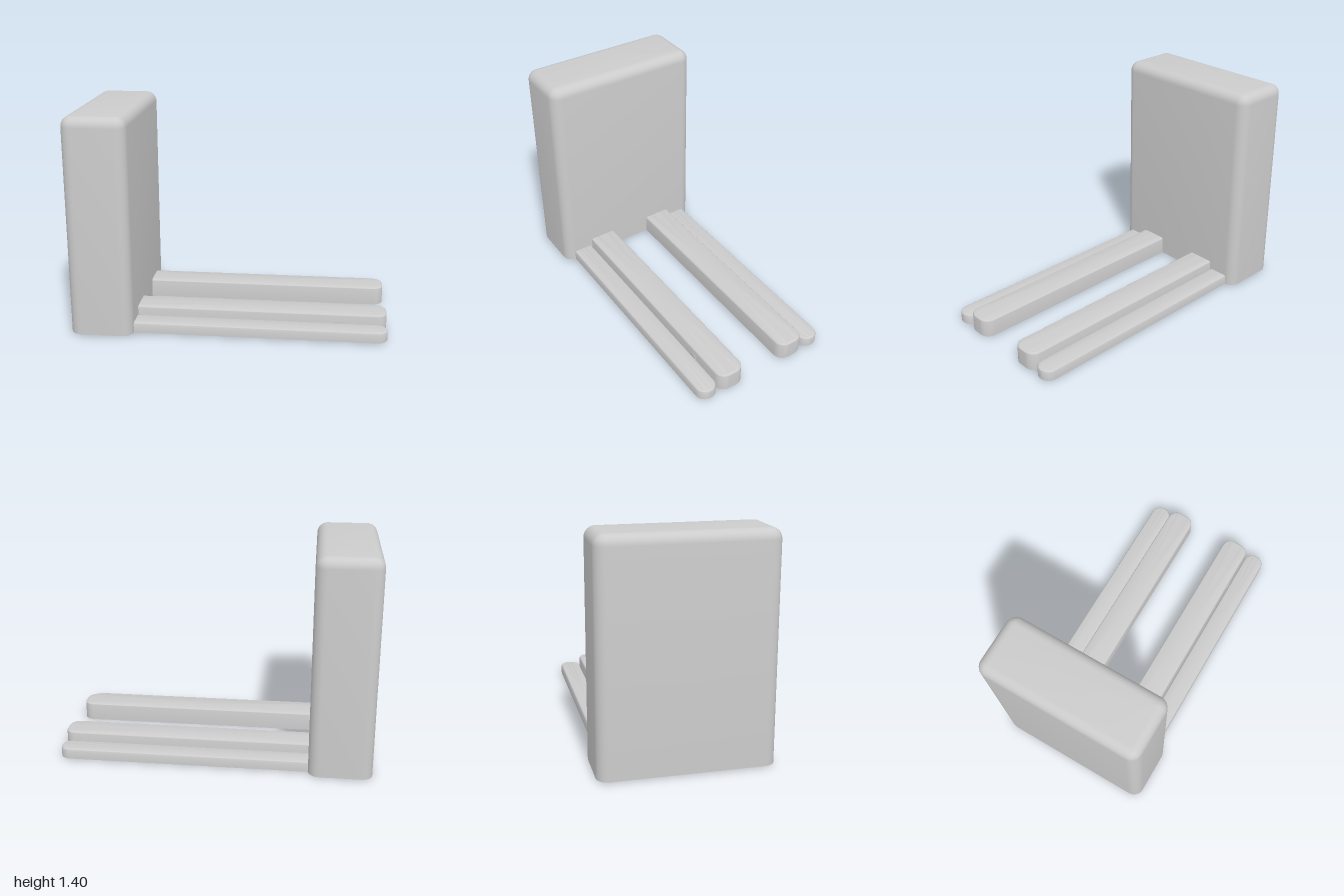
import * as THREE from 'three';
import { toCreasedNormals } from 'three/addons/utils/BufferGeometryUtils.js';

const material = new THREE.MeshStandardMaterial({ color: 0xcccccc });
const BASE = 0.007; // ground clearance
const CORNER_STEPS = 8;

// Rounded rectangle in plan, drawn in by a distance
function ring(x0, x1, z0, z1, radius, inset) {
  const points = [];
  const corners = [[x1 - radius, z1 - radius], [x0 + radius, z1 - radius], [x0 + radius, z0 + radius], [x1 - radius, z0 + radius]];
  corners.forEach(([cx, cz], c) => {
    for (let i = 0; i <= CORNER_STEPS; i++) {
      const a = (c + i / CORNER_STEPS) * Math.PI / 2;
      points.push([cx + (radius - inset) * Math.cos(a), cz + (radius - inset) * Math.sin(a)]);
    }
  });
  return points;
}

// Upright block with a flat bottom, rounded vertical edges and a rounded top rim
function roundedBlock(x0, x1, z0, z1, height, radius, rim) {
  const positions = [], index = [];
  const levels = [[BASE, 0]];
  for (let i = 0; i <= 6; i++) {
    const a = i / 6 * Math.PI / 2;
    levels.push([height - rim + rim * Math.sin(a), rim * (1 - Math.cos(a))]);
  }
  for (const [y, inset] of levels) {
    for (const [x, z] of ring(x0, x1, z0, z1, radius, inset)) positions.push(x, y, z);
  }
  const n = 4 * (CORNER_STEPS + 1);
  for (let l = 0; l < levels.length - 1; l++) {
    for (let i = 0; i < n; i++) {
      const a = l * n + i, b = l * n + (i + 1) % n;
      index.push(a, a + n, b, b, a + n, b + n);
    }
  }
  // Bottom and top caps
  const top = (levels.length - 1) * n;
  const cx = (x0 + x1) / 2, cz = (z0 + z1) / 2;
  const low = positions.length / 3;
  positions.push(cx, BASE, cz, cx, height, cz);
  for (let i = 0; i < n; i++) {
    const j = (i + 1) % n;
    index.push(low, i, j, low + 1, top + j, top + i);
  }
  const geometry = new THREE.BufferGeometry();
  geometry.setAttribute('position', new THREE.Float32BufferAttribute(positions, 3));
  geometry.setIndex(index);
  return toCreasedNormals(geometry, 0.6);
}

export function createModel() {
  const model = new THREE.Group();
  const add = (name, geometry) => {
    const mesh = new THREE.Mesh(geometry, material);
    mesh.name = name;
    model.add(mesh);
    return mesh;
  };

  // Upright body
  add('body', roundedBlock(-1, -0.6, -0.53, 0.53, 1.4, 0.07, 0.065));

  // Forks and low side legs, with their back ends sunk into the body
  for (const side of [1, -1]) {
    const label = side > 0 ? 'left' : 'right';
    const arm = (name, inner, outer, height, radius) => {
      const z = [side * inner, side * outer].sort((a, b) => a - b);
      add(label + name, roundedBlock(-0.7, 1, z[0], z[1], height, radius, 0.013));
    };
    arm('Fork', 0.141, 0.326, 0.128, 0.065);
    arm('Leg', 0.333, 0.467, 0.074, 0.064);

    // Roller under the fork tip
    const roller = add(label + 'Roller', new THREE.CylinderGeometry(0.04, 0.04, 0.108, 32));
    roller.rotation.x = Math.PI / 2;
    roller.position.set(0.7, 0.04, side > 0 ? 0.274 : -0.256);
  }
  return model;
}
